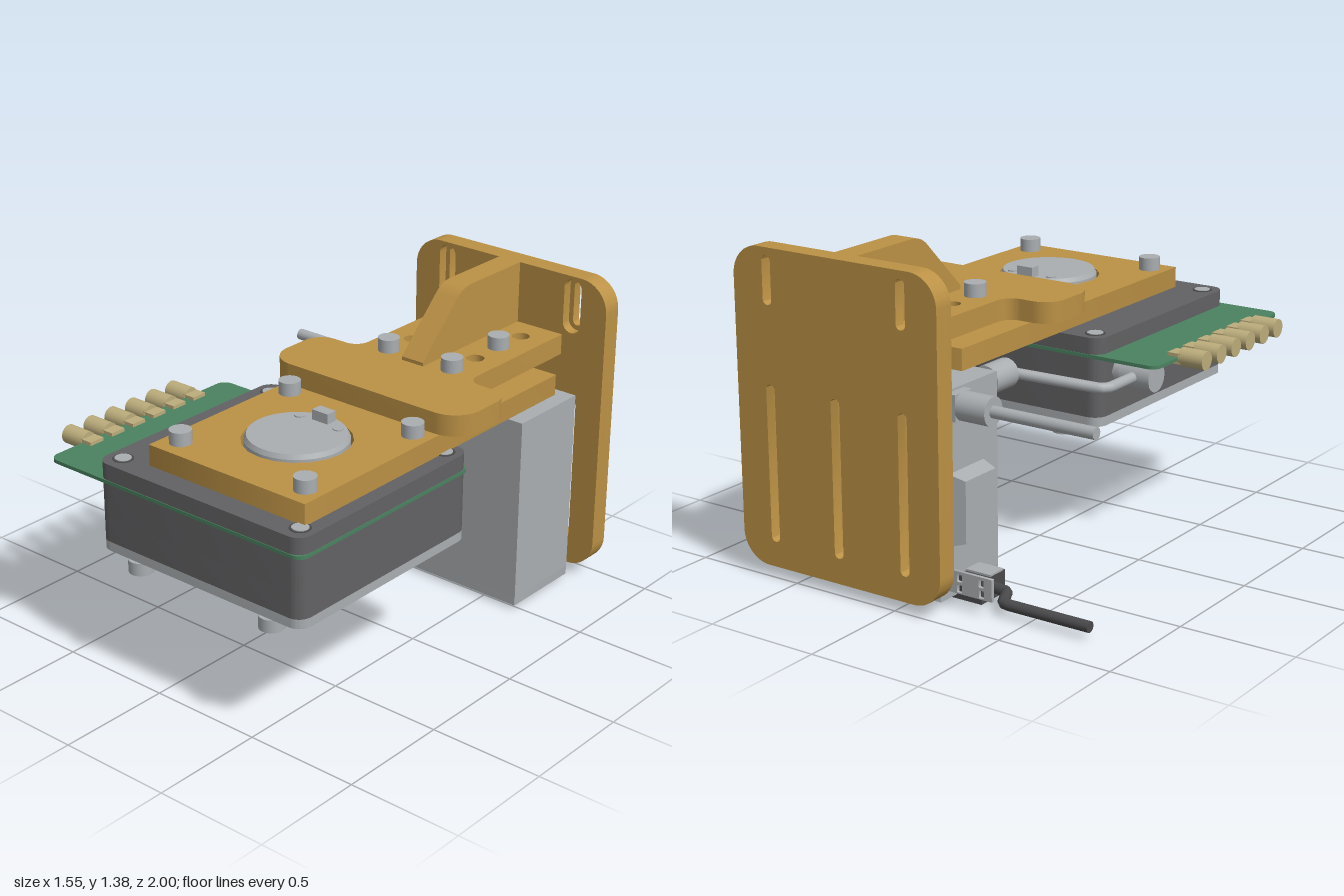
import * as THREE from 'three';
import { toCreasedNormals } from 'three/addons/utils/BufferGeometryUtils.js';

const mat = (name, color) => {
  const m = new THREE.MeshStandardMaterial({ color, side: THREE.DoubleSide });
  m.name = name;
  return m;
};

// Rounded rectangle outline, usable as a shape or as a hole
function roundRect(x0, y0, x1, y1, r, Type = THREE.Shape) {
  const s = new Type();
  s.moveTo(x0 + r, y0);
  s.lineTo(x1 - r, y0);
  s.absarc(x1 - r, y0 + r, r, -Math.PI / 2, 0, false);
  s.lineTo(x1, y1 - r);
  s.absarc(x1 - r, y1 - r, r, 0, Math.PI / 2, false);
  s.lineTo(x0 + r, y1);
  s.absarc(x0 + r, y1 - r, r, Math.PI / 2, Math.PI, false);
  s.lineTo(x0, y0 + r);
  s.absarc(x0 + r, y0 + r, r, Math.PI, Math.PI * 1.5, false);
  return s;
}
const hole = (x, y, r) => new THREE.Path().absarc(x, y, r, 0, Math.PI * 2, true);
const rectHole = (x0, y0, x1, y1) => roundRect(x0, y0, x1, y1, 0.003, THREE.Path);

export function createModel() {
  const model = new THREE.Group();
  const tan = mat('bracket tan', 0xbb9145);
  const grey = mat('light grey metal', 0xaaaeb1);
  const dark = mat('dark grey housing', 0x626163);
  const black = mat('cable charcoal', 0x4a4a4c);
  const green = mat('board green', 0x4a8260);
  const gold = mat('connector gold', 0xbcad7c);

  const add = (name, geo, m, x = 0, y = 0, z = 0) => {
    const mesh = new THREE.Mesh(geo, m);
    mesh.name = name;
    mesh.position.set(x, y, z);
    model.add(mesh);
    return mesh;
  };
  const extrude = (shape, depth) => toCreasedNormals(
    new THREE.ExtrudeGeometry(shape, { depth, bevelEnabled: false, curveSegments: 10 }), 0.6);
  // Horizontal slab: shape y means -z
  const slab = (name, shape, y0, y1, m) => add(name, extrude(shape, y1 - y0).rotateX(-Math.PI / 2), m, 0, y0);
  const box = (name, x0, x1, y0, y1, z0, z1, m) => add(name,
    new THREE.BoxGeometry(x1 - x0, y1 - y0, z1 - z0), m, (x0 + x1) / 2, (y0 + y1) / 2, (z0 + z1) / 2);
  const disc = (name, x, z, r, y0, y1, m, sides = 24) =>
    add(name, new THREE.CylinderGeometry(r, r, y1 - y0, sides), m, x, (y0 + y1) / 2, z);
  const rodX = (name, x0, x1, y, z, r, m, sides = 24) =>
    add(name, new THREE.CylinderGeometry(r, r, x1 - x0, sides).rotateZ(Math.PI / 2), m, (x0 + x1) / 2, y, z);
  const rodZ = (name, x, y, z0, z1, r, m, sides = 24) =>
    add(name, new THREE.CylinderGeometry(r, r, z1 - z0, sides).rotateX(Math.PI / 2), m, x, y, (z0 + z1) / 2);
  const cable = (name, pts, r, m) => {
    const path = new THREE.CurvePath();
    const v = pts.map((p) => new THREE.Vector3(...p));
    for (let i = 1; i < v.length; i++) path.add(new THREE.LineCurve3(v[i - 1], v[i]));
    add(name, new THREE.TubeGeometry(path, 40, r, 14), m);
  };

  const cx = 0.275;

  // Upright mounting plate, slots wider on the front half
  for (const [z, w] of [[-1, 0.022], [-0.955, 0.043]]) {
    const s = roundRect(-0.225, 0.05, 0.775, 1.38, 0.13);
    for (const x of [-0.055, 0.605]) s.holes.push(roundRect(x - w, 1.17 - w, x + w, 1.325 + w, w - 0.0005, THREE.Path));
    for (const x of [-0.055, cx, 0.605]) s.holes.push(roundRect(x - w, 0.18 - w, x + w, 0.8 + w, w - 0.0005, THREE.Path));
    add('mountingPlate', extrude(s, 0.045), tan, 0, 0, z);
  }

  // T-shaped arm
  const arm = new THREE.Shape();
  arm.moveTo(-0.01, 0.91);
  arm.lineTo(-0.01, 0.31);
  arm.absarc(-0.075, 0.31, 0.065, 0, -Math.PI / 2, true);
  arm.lineTo(-0.135, 0.245);
  arm.absarc(-0.135, 0.155, 0.09, Math.PI / 2, Math.PI, false);
  arm.lineTo(-0.225, 0.04);
  arm.absarc(-0.1, 0.04, 0.125, Math.PI, Math.PI * 1.5, false);
  arm.lineTo(0.65, -0.085);
  arm.absarc(0.65, 0.04, 0.125, -Math.PI / 2, 0, false);
  arm.lineTo(0.775, 0.155);
  arm.absarc(0.685, 0.155, 0.09, 0, Math.PI / 2, false);
  arm.lineTo(0.625, 0.245);
  arm.absarc(0.625, 0.31, 0.065, -Math.PI / 2, -Math.PI, true);
  arm.lineTo(0.56, 0.91);
  for (const x of [0.11, 0.44]) for (const z of [0.78, 0.62, 0.46, 0.3]) arm.holes.push(hole(x, z, 0.038));
  slab('arm', arm, 1.02, 1.11, tan);

  // Gusset rib on the arm
  const rib = new THREE.Shape();
  rib.moveTo(0.91, 1.11);
  rib.lineTo(0.91, 1.38);
  rib.lineTo(0.57, 1.38);
  rib.quadraticCurveTo(0.51, 1.38, 0.47, 1.34);
  rib.lineTo(0.25, 1.125);
  rib.lineTo(0.25, 1.11);
  add('gussetRib', extrude(rib, 0.11).rotateY(Math.PI / 2), tan, 0.22);

  // Arm bolts and nuts
  for (const x of [0.11, 0.44]) for (const z of [-0.3, -0.62]) {
    disc('armBolt', x, z, 0.046, 1.11, 1.167, grey);
    disc('armBoltShaft', x, z, 0.03, 0.93, 1.11, grey);
    disc('armNut', x, z, 0.05, 0.885, 0.93, grey, 6);
  }

  // Carrier plate with round opening
  const carrier = roundRect(-0.125, -0.885, 0.675, 0.71, 0.002);
  carrier.holes.push(hole(cx, -0.47, 0.222));
  slab('carrierPlate', carrier, 0.93, 1.02, tan);
  for (const x of [-0.045, 0.595]) for (const z of [0.15, 0.79]) disc('carrierBolt', x, z, 0.046, 1.02, 1.077, grey);

  // Round cover in the opening
  disc('openingFloor', cx, 0.47, 0.221, 0.925, 0.945, green, 40);
  add('roundCover', new THREE.CylinderGeometry(0.2, 0.21, 0.02, 40), grey, cx, 1.035, 0.47);
  disc('roundCoverBase', cx, 0.47, 0.21, 0.93, 1.026, grey, 40);
  box('coverTab', cx - 0.04, cx + 0.04, 1.04, 1.088, 0.285, 0.335, grey);
  for (const x of [0.175, 0.375]) disc('coverPin', x, 0.34, 0.022, 1.04, 1.05, grey, 16);

  // Sensor housing: hollow below, solid above, with a pocketed base plate
  const outline = () => roundRect(-0.32, -0.985, 0.74, 0.035, 0.06);
  const pocketed = () => {
    const s = outline();
    s.holes.push(rectHole(-0.08, -0.75, 0.5, -0.17));
    return s;
  };
  slab('basePlate', pocketed(), 0.55, 0.59, grey);
  slab('housingLower', pocketed(), 0.59, 0.7, dark);
  slab('housingUpper', outline(), 0.7, 0.93, dark);
  add('basePocket', new THREE.CylinderGeometry(0.36 / Math.SQRT2, 0.58 / Math.SQRT2, 0.1, 4, 1, true)
    .toNonIndexed().rotateY(Math.PI / 4), grey, 0.21, 0.6, 0.46).geometry.computeVertexNormals();
  box('pocketFloor', 0.03, 0.39, 0.645, 0.653, 0.28, 0.64, grey);
  for (const x of [-0.125, 0.565]) for (const z of [0.005, 0.95]) disc('foot', x, z, 0.052, 0.495, 0.55, grey);
  for (const x of [-0.25, 0.67]) for (const z of [0.04, 0.905]) {
    disc('screwRecess', x, z, 0.043, 0.927, 0.932, black);
    disc('cornerScrew', x, z, 0.034, 0.93, 0.935, grey);
  }

  // Circuit board with a row of coaxial connectors
  slab('circuitBoard', roundRect(-0.59, -0.988, 0.743, 0.038, 0.045), 0.845, 0.86, green);
  for (let i = 0; i < 6; i++) {
    const z = 0.17 + i * 0.12;
    rodX('connectorBarrel', -0.705, -0.59, 0.855, z, 0.04, gold);
    box('connectorBody', -0.6, -0.54, 0.83, 0.875, z - 0.036, z + 0.036, gold);
  }
  box('boardSpacer', -0.57, -0.5, 0.815, 0.845, 0.86, 0.93, grey);

  // Rear unit with a recessed board underneath
  box('rearUnit', -0.125, 0.675, 0.06, 0.875, -0.865, -0.48, grey);
  const rim = roundRect(-0.125, 0.48, 0.675, 0.865, 0.002);
  rim.holes.push(rectHole(-0.105, 0.51, 0.5, 0.835));
  slab('rearUnitRim', rim, 0.02, 0.06, grey);
  box('lowerBoard', -0.105, 0.5, 0.05, 0.058, -0.835, -0.51, green);
  box('lowerChip', 0.13, 0.22, 0.04, 0.05, -0.72, -0.62, black);
  for (const z of [-0.55, -0.79]) disc('rimScrew', 0.585, z, 0.022, 0.014, 0.02, dark, 16);

  // Side panel with chamfered edges
  const panel = new THREE.CylinderGeometry(0.5, 0.58, 1, 4).toNonIndexed().rotateY(Math.PI / 4);
  panel.scale(0.3 / 0.82, 0.07, 0.23 / 0.82).rotateZ(Math.PI / 2).computeVertexNormals();
  add('sidePanel', panel, grey, -0.16, 0.385, -0.69);

  // Lower plug, cable and perforated bracket
  box('lowerPlug', -0.245, -0.1, 0.002, 0.1, -0.76, -0.6, black);
  box('plugCap', -0.245, -0.125, 0.1, 0.108, -0.7, -0.61, grey);
  cable('lowerCable', [[-0.24, 0.052, -0.68], [-0.32, 0.052, -0.69], [-0.37, 0.052, -0.79], [-0.4, 0.052, -0.797], [-0.78, 0.052, -0.797]], 0.023, black);
  disc('cableEnd', 0, 0, 0.023, -0.002, 0.002, black).rotation.z = Math.PI / 2;
  model.children.at(-1).position.set(-0.778, 0.052, -0.797);
  const strip = roundRect(-0.36, 0.07, -0.125, 0.163, 0.002);
  for (const x of [-0.31, -0.205]) for (const y of [0.087, 0.131]) {
    strip.holes.push(rectHole(x - 0.012, y - 0.012, x + 0.012, y + 0.02));
  }
  add('perforatedBracket', extrude(strip, 0.015), grey, 0, 0, -0.85);
  rodZ('rearScrew', -0.08, 0.135, -0.893, -0.865, 0.036, grey);

  // Upper side connector and rod
  box('upperSocket', -0.165, -0.12, 0.755, 0.865, -0.81, -0.7, grey);
  rodX('upperConnector', -0.305, -0.165, 0.81, -0.755, 0.06, grey);
  rodX('upperRod', -0.775, -0.3, 0.81, -0.755, 0.025, grey);

  // Link cable between housing and rear unit
  rodX('housingNut', -0.37, -0.315, 0.77, 0.1, 0.042, grey, 6);
  rodX('housingPlug', -0.51, -0.365, 0.77, 0.1, 0.063, grey);
  cable('linkCable', [[-0.43, 0.77, 0.1], [-0.43, 0.77, -0.13], [-0.41, 0.772, -0.165], [-0.08, 0.808, -0.28], [-0.04, 0.81, -0.3]], 0.023, grey);
  rodZ('rearPlug', -0.04, 0.81, -0.44, -0.295, 0.062, grey);
  rodZ('rearPlugNut', -0.04, 0.81, -0.485, -0.44, 0.05, grey, 6);

  return model;
}
